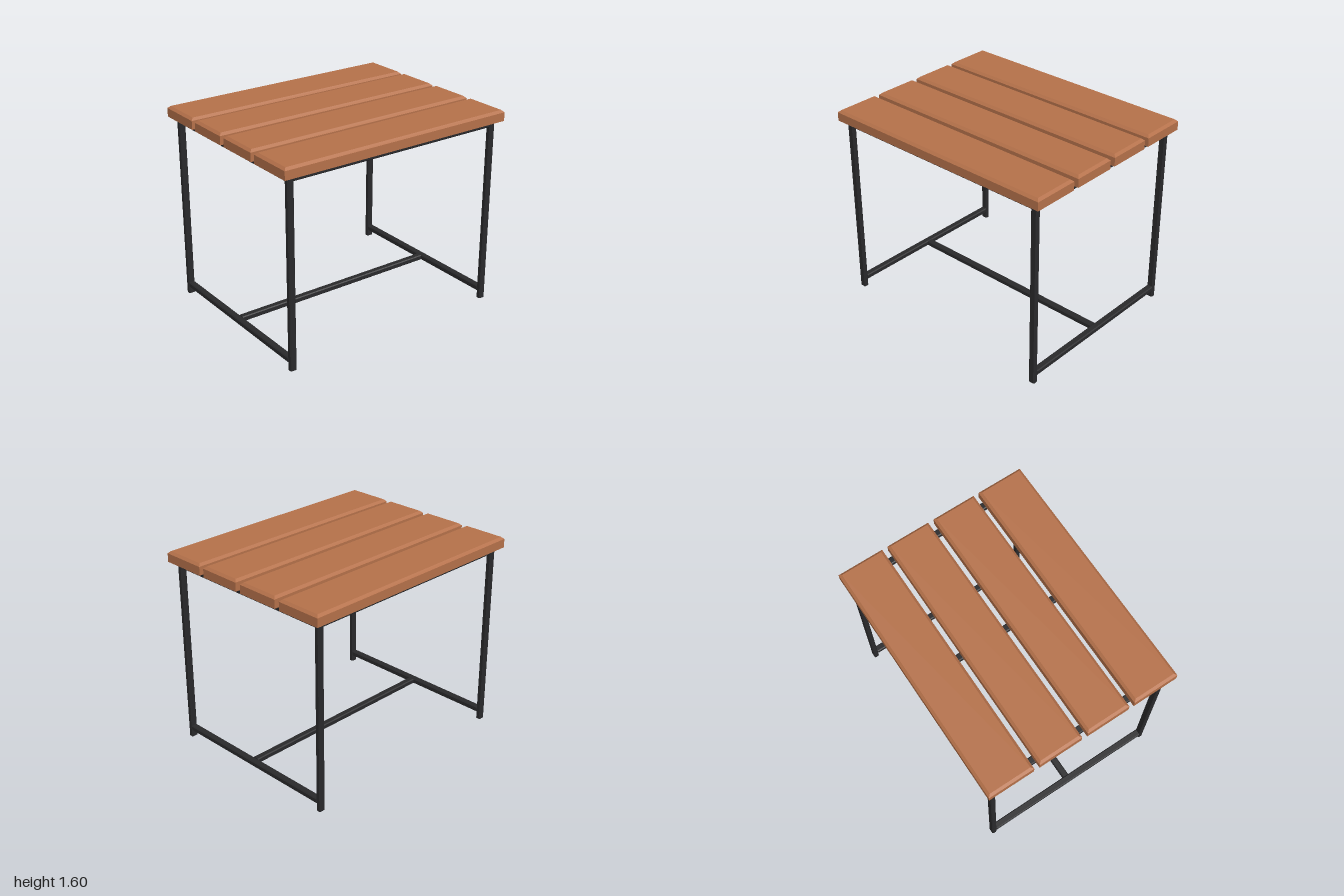
import * as THREE from 'three';

const wood = new THREE.MeshStandardMaterial({ color: 0xb5714a, flatShading: true });
const metal = new THREE.MeshStandardMaterial({ color: 0x29292b, flatShading: true });

// Square-section steel bar with narrow chamfered edges, running along one axis
function bar(name, axis, w, h, length, x, y, z) {
  const c = 0.007, a = w / 2, b = h / 2;
  const section = new THREE.Shape([
    [a - c, -b], [a, c - b], [a, b - c], [a - c, b],
    [c - a, b], [-a, b - c], [-a, c - b], [c - a, -b],
  ].map(([u, v]) => new THREE.Vector2(u, v)));
  const geo = new THREE.ExtrudeGeometry(section, { depth: length, bevelEnabled: false });
  geo.translate(0, 0, -length / 2);
  if (axis === 'x') geo.rotateY(Math.PI / 2);
  if (axis === 'y') geo.rotateX(-Math.PI / 2);
  const mesh = new THREE.Mesh(geo, metal);
  mesh.name = name;
  mesh.position.set(x, y, z);
  return mesh;
}

// Board with a square underside and a chamfer around the top face
function plank(z0, z1) {
  const y0 = 1.513, y1 = 1.582, y2 = 1.6, c = 0.02;
  const width = z1 - z0;
  const geo = new THREE.BoxGeometry(2, y2 - y0, width, 1, 2, 1);
  const p = geo.attributes.position;
  for (let i = 0; i < p.count; i++) {
    const y = p.getY(i);
    if (y > 0.01) {
      p.setX(i, p.getX(i) - Math.sign(p.getX(i)) * c);
      p.setZ(i, p.getZ(i) - Math.sign(p.getZ(i)) * c);
    } else if (y > -0.01) {
      p.setY(i, y1 - (y0 + y2) / 2);
    }
  }
  geo.computeVertexNormals();
  const mesh = new THREE.Mesh(geo, wood);
  mesh.name = 'tabletopPlank';
  mesh.position.set(0, (y0 + y2) / 2, (z0 + z1) / 2);
  return mesh;
}

export function createModel() {
  const model = new THREE.Group();
  model.name = 'table';
  const legX = 0.923, legZ = 0.735, w = 0.053, d = 0.04;
  const topY = 1.491, lowY = 0.078, h = 0.043;

  // Tabletop: two wide outer planks, two narrower inner ones
  const top = new THREE.Group();
  top.name = 'tabletop';
  for (const [a, b] of [[-0.8, -0.426], [-0.381, -0.024], [0.024, 0.381], [0.426, 0.8]]) {
    top.add(plank(a, b));
  }

  const frame = new THREE.Group();
  frame.name = 'frame';
  for (const s of [-1, 1]) {
    // Legs on this side
    for (const t of [-1, 1]) frame.add(bar('leg', 'y', w, d, 1.513, s * legX, 1.513 / 2, t * legZ));
    // Side rails between the legs
    const span = 2 * legZ - d;
    frame.add(bar('topSideRail', 'z', w, h, span, s * legX, topY, 0));
    frame.add(bar('lowerSideRail', 'z', w, h, span, s * legX, lowY, 0));
    // Long rail under the front or back plank
    frame.add(bar('topLongRail', 'x', d, h, 2 * legX - w, 0, topY, s * legZ));
  }
  // Cross beam under the planks and low stretcher along the middle
  frame.add(bar('crossBeam', 'z', w, h, 2 * legZ - d, 0, topY, 0));
  frame.add(bar('stretcher', 'x', w, h, 2 * legX - w, 0, lowY, 0));

  model.add(top, frame);
  return model;
}
